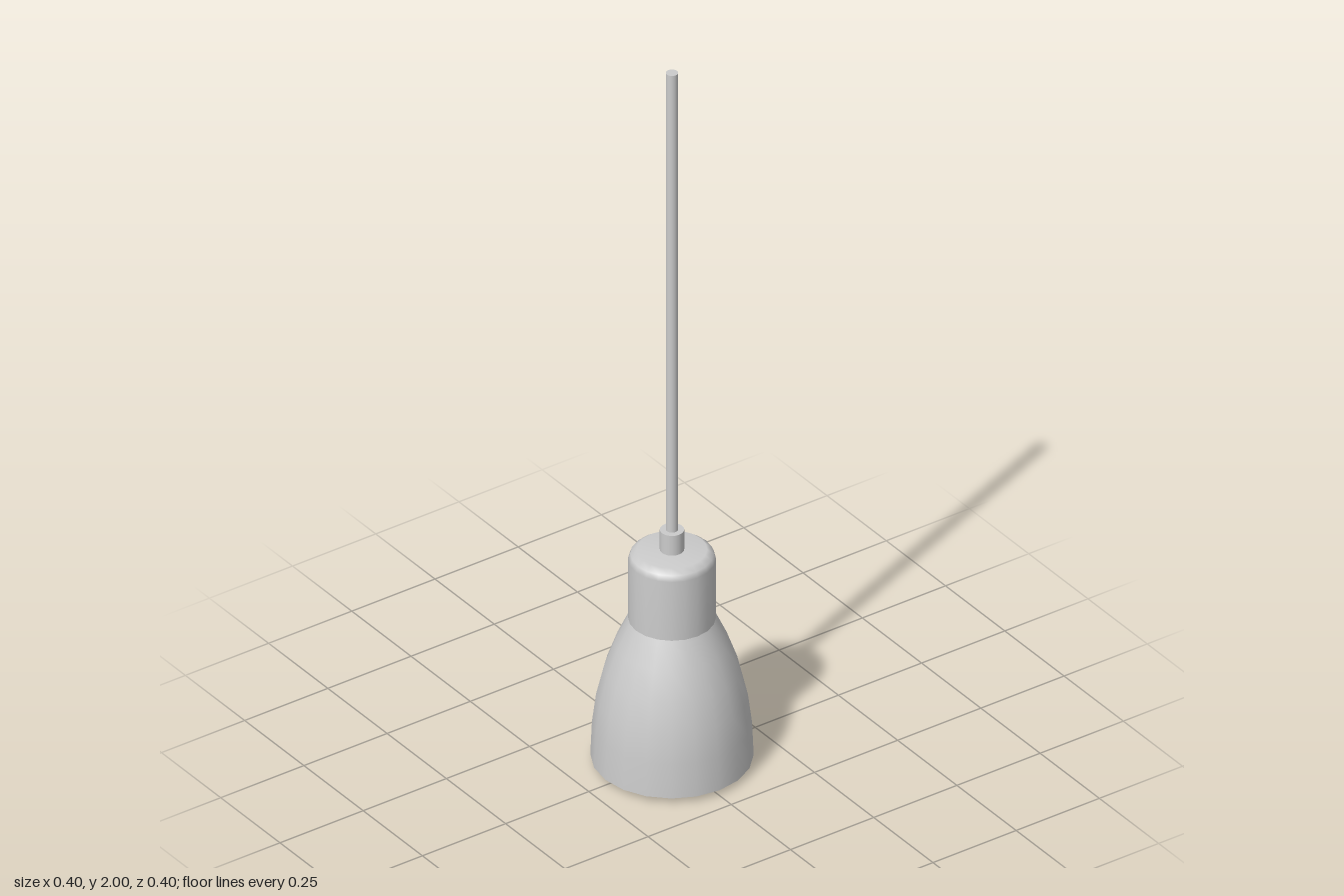
import * as THREE from 'three';

const SIDES = 20;
const material = new THREE.MeshStandardMaterial({ color: 0xcccccc });

// Revolve each run of [radius, height] points separately, so joints between runs stay sharp.
function turned(name, ...runs) {
  const group = new THREE.Group();
  group.name = name;
  runs.forEach((run, i) => {
    const points = run.map(([r, y]) => new THREE.Vector2(r, y));
    const mesh = new THREE.Mesh(new THREE.LatheGeometry(points, SIDES), material);
    mesh.name = `${name}Surface${i + 1}`;
    group.add(mesh);
  });
  return group;
}

export function createModel() {
  const model = new THREE.Group();
  model.name = 'pendantLamp';

  // Hollow shade: flared bell, straight neck and softly rounded top
  const bell = [[0.2, 0.015], [0.196, 0.11], [0.186, 0.19], [0.167, 0.27], [0.14, 0.345], [0.108, 0.415]];
  const neckTop = [[0.108, 0.585], [0.102, 0.6], [0.086, 0.612], [0, 0.613]];
  const wall = 0.018;
  const inside = bell.map(([r, y]) => [r - wall, y]).reverse();
  model.add(turned('shade',
    bell,
    [[0.108, 0.415], ...neckTop],
    [[0, 0.592], [0.09, 0.592]],
    [[0.09, 0.592], [0.09, 0.415]],
    inside,
    [[0.2 - wall, 0.015], [0.2, 0.015]],
  ));

  // Cord grip on top of the shade
  model.add(turned('cordGrip', [[0.03, 0.605], [0.03, 0.67]], [[0.03, 0.67], [0, 0.67]]));

  // Hanging cord
  const cord = new THREE.Mesh(new THREE.CylinderGeometry(0.015, 0.015, 1.34, SIDES), material);
  cord.name = 'cord';
  cord.position.y = 1.33;
  model.add(cord);

  // Bulb: round globe tapering into its base
  const globe = [];
  for (let i = 0; i <= 12; i++) {
    const a = (i / 12) * Math.PI * 0.8;
    globe.push([0.065 * Math.sin(a), 0.065 - 0.065 * Math.cos(a)]);
  }
  model.add(turned('bulb', [...globe, [0.034, 0.15], [0.032, 0.22]]));

  // Lamp holder inside the neck
  model.add(turned('lampHolder',
    [[0, 0.21], [0.045, 0.21]],
    [[0.045, 0.21], [0.045, 0.592]],
  ));

  return model;
}
